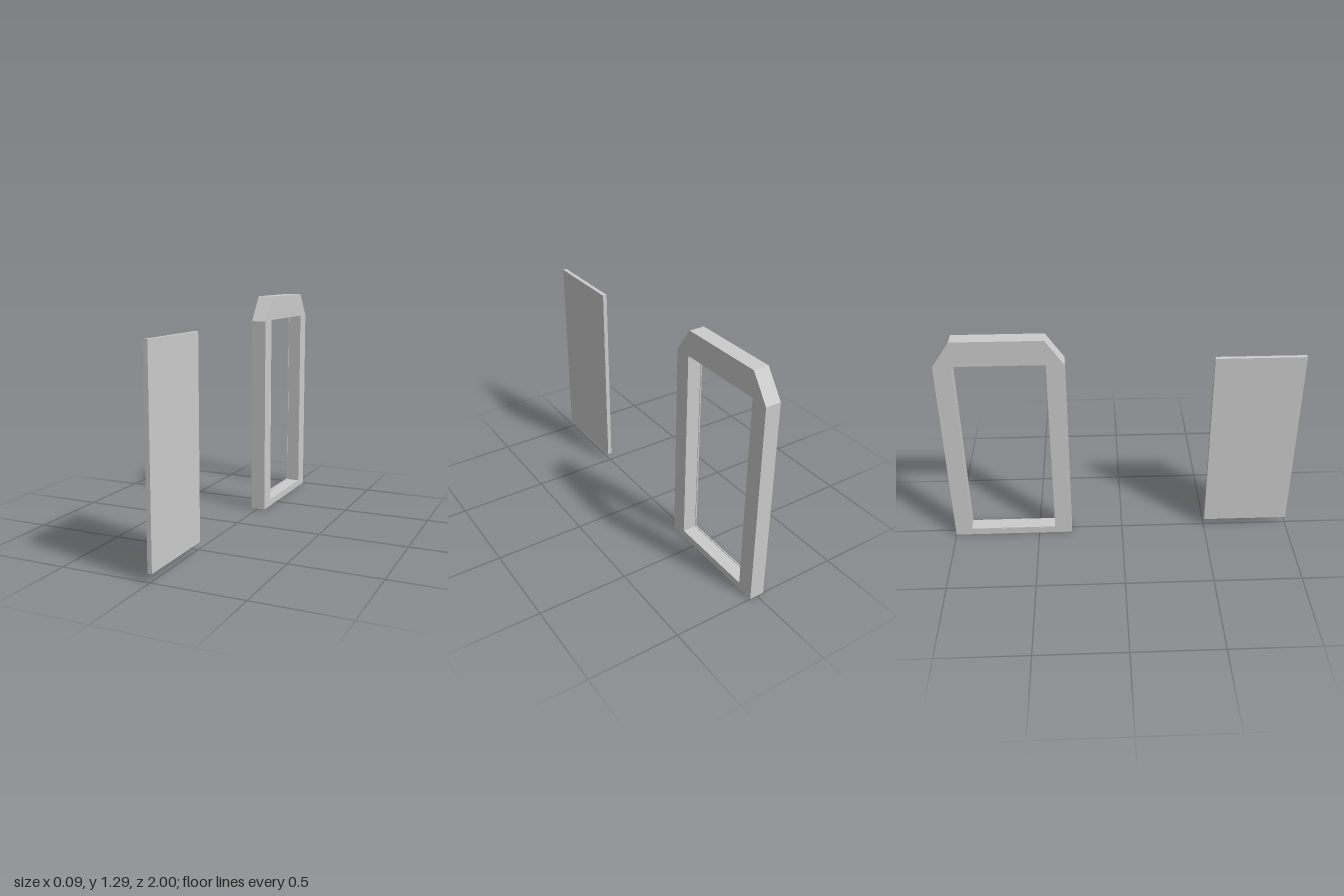
import * as THREE from 'three';

const material = new THREE.MeshStandardMaterial({ color: 0xcccccc, flatShading: true, side: THREE.DoubleSide });
const points = (list) => list.map(([u, y]) => new THREE.Vector2(u, y));
const rectangle = (u0, u1, y0, y1) => points([[u0, y0], [u1, y0], [u1, y1], [u0, y1]]);

// Extrudes a profile drawn in (-z, y) along x, from x0 to x1
function slab(name, outline, hole, x0, x1) {
  const shape = new THREE.Shape(outline);
  if (hole) shape.holes.push(new THREE.Path(hole));
  const geometry = new THREE.ExtrudeGeometry(shape, { depth: x1 - x0, bevelEnabled: false });
  geometry.rotateY(Math.PI / 2).translate(x0, 0, 0);
  const mesh = new THREE.Mesh(geometry, material);
  mesh.name = name;
  return mesh;
}

export function createModel() {
  const group = new THREE.Group();
  group.name = 'doorAndFrame';

  // Frame with clipped top corners and a rectangular opening
  const outline = points([[0.305, 0], [1, 0], [1, 1.15], [0.9, 1.293], [0.405, 1.293], [0.305, 1.15]]);
  const opening = rectangle(0.4, 0.905, 0.04, 1.153);
  group.add(slab('doorFrame', outline, opening, -0.043, 0.043));

  // Fine stop lip just inside one edge of the opening
  const lipHole = rectangle(0.404, 0.901, 0.044, 1.149);
  group.add(slab('doorStop', opening, lipHole, -0.042, -0.035));

  // Separate flat door leaf standing in front of the frame
  group.add(slab('doorPanel', rectangle(-1, -0.502, 0.045, 1.15), null, -0.012, 0.012));

  return group;
}
